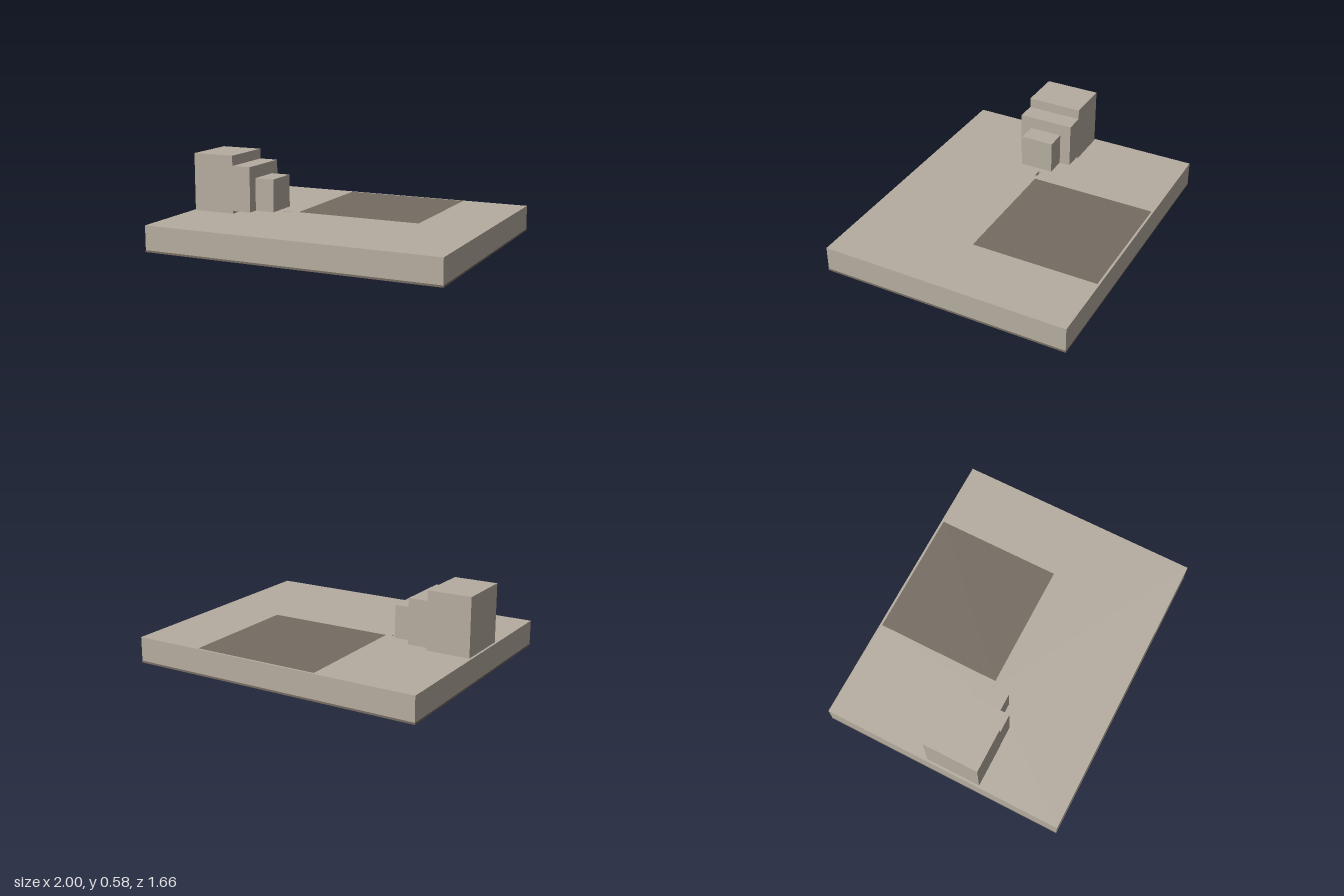
import * as THREE from 'three';

const paint = (name, color) => {
  const m = new THREE.MeshStandardMaterial({ color });
  m.name = name;
  return m;
};

export function createModel() {
  const stone = paint('stone', 0xb5ac9f);
  const dark = paint('darkStone', 0x756b61);
  const grey = paint('corridorGrey', 0xb9b3a9);
  const red = paint('darkRed', 0x984650);
  const tan = paint('tan', 0xbc8f74);
  const model = new THREE.Group();
  model.name = 'building';

  const add = (name, geometry, material) => {
    const mesh = new THREE.Mesh(geometry, material);
    mesh.name = name;
    model.add(mesh);
    return mesh;
  };
  // box given by its limits on each axis
  const box = (name, material, [x0, x1], [y0, y1], [z0, z1]) =>
    add(name, new THREE.BoxGeometry(x1 - x0, y1 - y0, z1 - z0), material)
      .position.set((x0 + x1) / 2, (y0 + y1) / 2, (z0 + z1) / 2);

  const court = { x: [-0.32, 0.54], z: [-0.815, 0.04] };
  const slot = { x: [-0.42, -0.36], z: [0.045, 0.06] };

  // rectangular slab with rectangular openings cut through it
  const rect = (path, { x: [x0, x1], z: [z0, z1] }) =>
    path.moveTo(x0, -z1).lineTo(x1, -z1).lineTo(x1, -z0).lineTo(x0, -z0).closePath();
  const slab = (name, material, outline, [y0, y1], openings) => {
    const shape = rect(new THREE.Shape(), outline);
    shape.holes = openings.map((o) => rect(new THREE.Path(), o));
    const g = new THREE.ExtrudeGeometry(shape, { depth: y1 - y0, bevelEnabled: false });
    g.rotateX(-Math.PI / 2).translate(0, y0, 0);
    add(name, g, material);
  };
  slab('storeyBlock', stone, { x: [-0.998, 0.998], z: [-0.83, 0.83] }, [0.035, 0.195], [court, slot]);
  slab('baseSlab', dark, { x: [-1, 1], z: [-0.832, 0.832] }, [0.0225, 0.035], [court]);
  box('courtyardCover', dark, court.x, [0.178, 0.195], court.z);

  // coloured room floors, seen from below
  const floors = [
    ['redRoomFloor', red, [-0.225, 0.99], [0.315, 0.822]],
    ['frontRoomFloor', tan, [-0.99, -0.235], [0.29, 0.822]],
    ['backRoomFloor', tan, [-0.99, -0.33], [-0.822, -0.12]],
    ['corridorFloor', grey, [-0.99, -0.32], [-0.11, 0.28]],
    ['hallFloor', grey, [-0.32, 0.99], [0.04, 0.305]],
    ['sideHallFloor', grey, [0.54, 0.99], [-0.285, 0.04]],
  ];
  for (const [name, material, x, z] of floors) box(name, material, x, [0.0205, 0.0225], z);

  // thin dark joints in the floors
  box('doorJoint', dark, [-0.575, -0.565], [0.019, 0.0205], [-0.1, 0.1]);
  box('frontRoomJoint', dark, [-0.69, -0.28], [0.019, 0.0205], [0.75, 0.758]);

  // stepped tower on the roof
  box('towerTall', stone, [-0.983, -0.69], [0.195, 0.583], [-0.105, 0.27]);
  box('towerMiddle', stone, [-0.69, -0.56], [0.213, 0.515], [-0.105, 0.27]);
  box('towerLow', stone, [-0.56, -0.425], [0.213, 0.432], [-0.03, 0.195]);

  // stair wedge under the corridor
  const wedge = new THREE.Shape([[-0.73, 0.0205], [-0.69, 0], [-0.69, 0.0205]]
    .map(([x, y]) => new THREE.Vector2(x, y)));
  add('stairWedge', new THREE.ExtrudeGeometry(wedge, { depth: 0.18, bevelEnabled: false }), red)
    .position.z = 0.09;

  return model;
}
